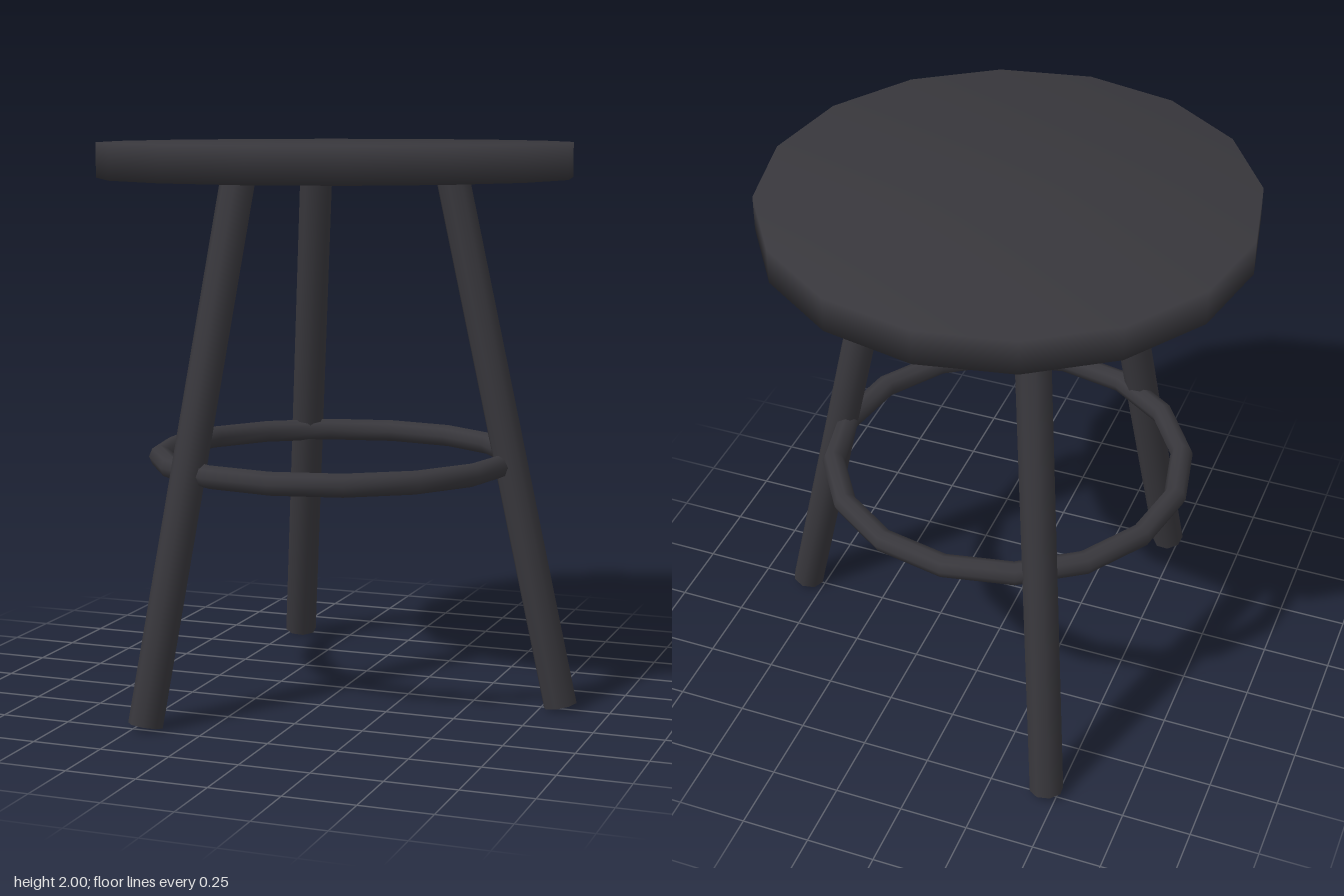
import * as THREE from 'three';
import { mergeVertices } from 'three/addons/utils/BufferGeometryUtils.js';

const material = new THREE.MeshStandardMaterial({ color: 0x38373c });

// Weld all corners so shading runs smoothly over the edges
function softened(geometry) {
  geometry.deleteAttribute('normal');
  geometry.deleteAttribute('uv');
  const welded = mergeVertices(geometry);
  welded.computeVertexNormals();
  return welded;
}

function addPart(parent, name, geometry) {
  const mesh = new THREE.Mesh(geometry, material);
  mesh.name = name;
  parent.add(mesh);
  return mesh;
}

export function createModel() {
  const stool = new THREE.Group();
  stool.name = 'stool';
  stool.position.x = -0.032;

  // Round sixteen-sided seat
  const seat = addPart(stool, 'seat', softened(new THREE.CylinderGeometry(0.853, 0.853, 0.125, 16)));
  seat.position.y = 1.9375;

  // Three splayed legs, their tops sunk into the seat
  const foot = new THREE.Vector3(0.852, 0.016, 0);
  const top = new THREE.Vector3(0.428, 1.92, 0);
  const axis = top.clone().sub(foot);
  const legGeometry = softened(new THREE.CylinderGeometry(0.061, 0.061, axis.length(), 8));
  ['leftLeg', 'backRightLeg', 'frontRightLeg'].forEach((name, i) => {
    const pivot = new THREE.Group();
    pivot.rotation.y = (i * Math.PI * 2) / 3;
    stool.add(pivot);
    const leg = addPart(pivot, name, legGeometry);
    leg.position.copy(foot).add(top).multiplyScalar(0.5);
    leg.quaternion.setFromUnitVectors(new THREE.Vector3(0, 1, 0), axis.clone().normalize());
  });

  // Footrest ring joining the legs
  const ring = addPart(stool, 'footRing', new THREE.TorusGeometry(0.637, 0.041, 8, 16));
  ring.rotation.x = Math.PI / 2;
  ring.position.y = 0.87;

  const model = new THREE.Group();
  model.name = 'roundStool';
  model.add(stool);
  return model;
}
